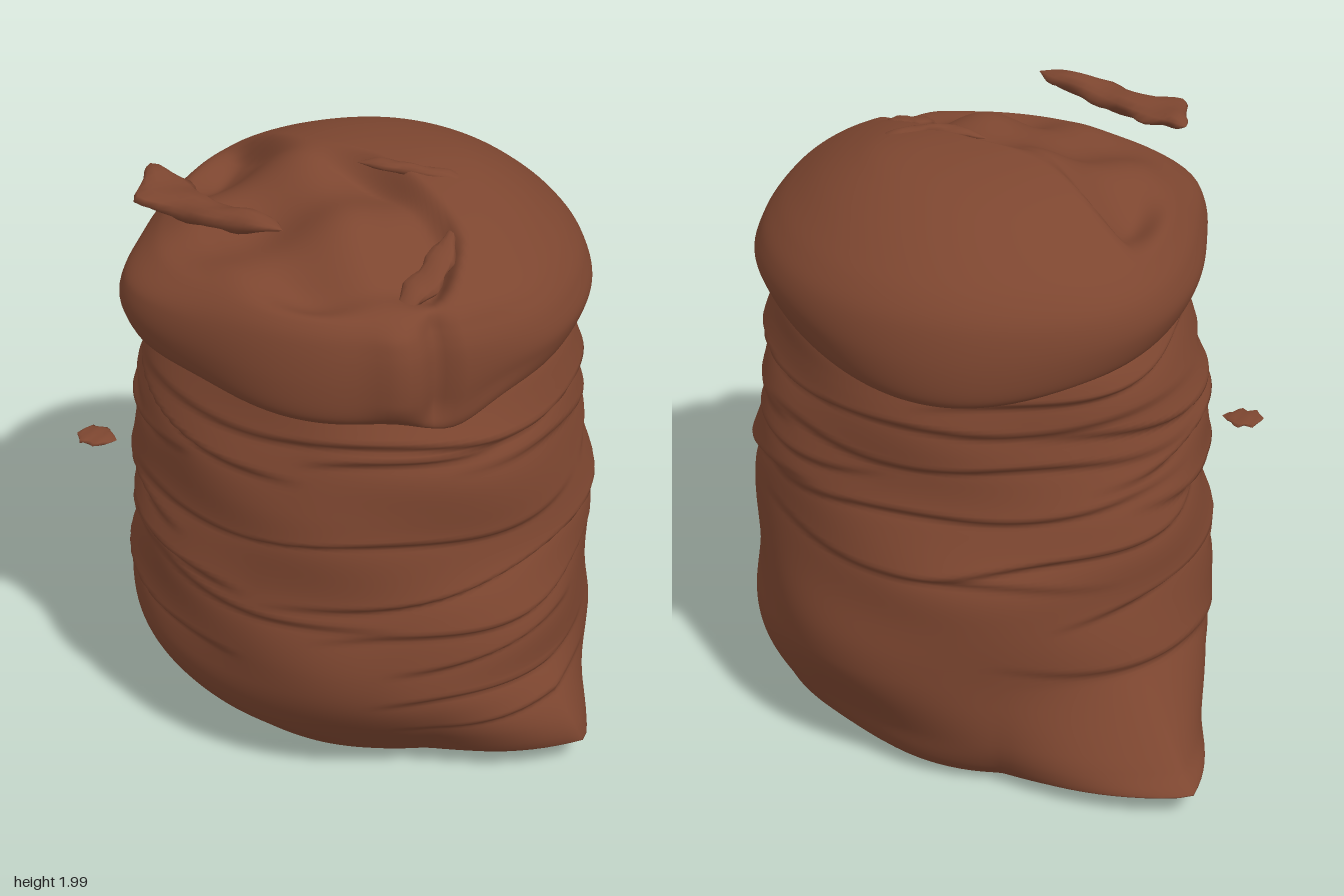
import * as THREE from 'three';

const TAU = Math.PI * 2;
const DEG = Math.PI / 180;
const burlap = new THREE.MeshStandardMaterial({ color: 0x7d4630, side: THREE.DoubleSide });
burlap.name = 'brown cloth';

// Cubic interpolation between rows of numbers
function sample(rows, t) {
  const i = Math.min(Math.floor(t), rows.length - 2), f = t - i;
  const at = k => rows[Math.max(0, Math.min(rows.length - 1, k))];
  const [a, b, c, d] = [at(i - 1), at(i), at(i + 1), at(i + 2)];
  return b.map((_, k) => b[k] + 0.5 * f * (c[k] - a[k] + f * (2 * a[k] - 5 * b[k] + 4 * c[k] - d[k]
    + f * (3 * (b[k] - c[k]) + d[k] - a[k]))));
}

// Closed loops of points joined into a smooth skin
function skin(name, rings, segs, pointAt) {
  const pos = [], idx = [];
  for (let i = 0; i < rings; i++) {
    for (let j = 0; j < segs; j++) {
      pos.push(...pointAt(i / (rings - 1), j / segs * TAU));
      if (i === rings - 1) continue;
      const a = i * segs + j, b = i * segs + (j + 1) % segs;
      idx.push(a, a + segs, b, b, a + segs, b + segs);
    }
  }
  const geo = new THREE.BufferGeometry();
  geo.setAttribute('position', new THREE.Float32BufferAttribute(pos, 3));
  geo.setIndex(idx);
  geo.computeVertexNormals();
  const mesh = new THREE.Mesh(geo, burlap);
  mesh.name = name;
  return mesh;
}

// Rounded cross-section spanning x0..x1 and z0..z1
function section([y, x0, x1, z0, z1], a, grow = 0) {
  const c = Math.cos(a), s = Math.sin(a), n = 1.94;
  const k = Math.pow(Math.abs(c) ** n + Math.abs(s) ** n, -1 / n);
  return [(x0 + x1) / 2 + c * (k * (x1 - x0) / 2 + grow), y,
    (z0 + z1) / 2 + s * (k * (z1 - z0) / 2 + grow)];
}

const angleGap = (a, b) => Math.atan2(Math.sin(a - b), Math.cos(a - b));
const bump = (a, deg, width) => Math.exp(-((angleGap(a, deg * DEG) / width) ** 2));
const smooth = (x, a, b) => THREE.MathUtils.smoothstep(x, a, b);

// Folds: centre angle, half spread, height, rise across the spread, depth
const folds = [
  [90, 75, 0.98, -0.03, 0.022], [30, 80, 0.86, -0.15, 0.026], [0, 170, 1.32, 0.02, 0.024],
  [45, 34, 0.42, -0.03, 0.022], [48, 28, 0.57, -0.04, 0.018], [42, 32, 0.3, -0.03, 0.016],
  [45, 50, 0.68, -0.06, 0.018], [10, 50, 1.2, 0.05, 0.016], [70, 28, 1.28, -0.03, 0.02],
  [140, 45, 1.25, 0.07, 0.024], [150, 40, 0.8, 0.06, 0.026], [150, 38, 0.54, 0.05, 0.02],
  [185, 55, 1.12, -0.04, 0.026], [180, 50, 0.93, 0.05, 0.028], [195, 55, 0.68, -0.05, 0.024],
  [205, 50, 1.22, 0.05, 0.022], [215, 50, 0.42, 0.08, 0.014], [270, 70, 1.17, 0.02, 0.018],
  [275, 70, 1.0, -0.03, 0.018], [285, 55, 0.8, 0.05, 0.014], [240, 50, 0.86, -0.06, 0.02],
  [330, 40, 1.08, -0.04, 0.016], [110, 40, 0.7, 0.04, 0.014], [225, 60, 1.42, -0.04, 0.02],
].map(([a, w, ...rest]) => [a * DEG, w * DEG, ...rest]);

// Soft bulge above each fold line, with a tuck beneath it
function wrinkle(a, y) {
  let sum = 0.007 * Math.sin(3 * a + y * 9) + 0.006 * Math.sin(5 * a - y * 13) - 0.004;
  for (const [fa, w, fy, rise, depth] of folds) {
    const g = angleGap(a, fa) / w;
    if (Math.abs(g) >= 1) continue;
    const u = y - fy - rise * g - 0.012 * Math.sin(a * 5 + fy * 20);
    const weight = Math.cos(g * Math.PI / 2) * depth;
    const over = Math.exp(-Math.max(u, 0) / 0.075), under = -1.15 * Math.exp(Math.min(u, 0) / 0.045);
    sum += weight * THREE.MathUtils.lerp(under, over, smooth(u, -0.018, 0.018));
  }
  return sum;
}

// Body: height, x range, z range
const bodyRows = [
  [0.012, 0.03, 0.03, -0.06, -0.06], [0.01, -0.3, 0.34, -0.36, 0.22], [0.018, -0.56, 0.6, -0.58, 0.41],
  [0.055, -0.63, 0.7, -0.64, 0.48], [0.12, -0.67, 0.75, -0.675, 0.55], [0.22, -0.705, 0.79, -0.695, 0.63],
  [0.35, -0.715, 0.81, -0.71, 0.69], [0.5, -0.705, 0.81, -0.715, 0.715], [0.65, -0.69, 0.805, -0.7, 0.715],
  [0.8, -0.685, 0.795, -0.69, 0.7], [0.95, -0.675, 0.785, -0.66, 0.695], [1.1, -0.665, 0.77, -0.64, 0.705],
  [1.25, -0.64, 0.75, -0.645, 0.7], [1.4, -0.61, 0.725, -0.65, 0.67], [1.5, -0.57, 0.69, -0.63, 0.63],
  [1.58, -0.5, 0.6, -0.55, 0.55],
];

// Pointed lower corners: angle, spread, reach, height
const corners = [[32, 32, 0.24, 0.09], [228, 35, 0.345, 0.06]];

function bodyPoint(t, a) {
  const row = sample(bodyRows, t * (bodyRows.length - 1));
  const y = row[0], rim = smooth(row[2] - row[1], 0.8, 1.35);
  // fuller along the diagonal that joins the corners
  let grow = wrinkle(a, y) * smooth(y, 0.05, 0.2)
    + rim * (0.04 * bump(a, 45, 0.42) + 0.045 * bump(a, 225, 0.45));
  let lift = 0;
  for (const [ca, w, reach, cy] of corners) {
    const side = Math.max(0, 1 - Math.abs(angleGap(a, ca * DEG)) / (w * DEG)) ** 1.15;
    grow += rim * reach * side * Math.max(0, 1 - Math.abs(y - cy) / 0.36) ** 1.3;
    lift += rim * 0.05 * side * (1 - smooth(y, 0.02, 0.15));
  }
  // lower edge drawn in between the corners
  grow -= 0.08 * rim * (1 - smooth(y, 0.05, 0.42)) * (bump(a, 135, 0.6) + bump(a, 318, 0.6));
  const [x, , z] = section(row, a, grow);
  return [x, y + lift, z];
}

// Rolled cuff and bulging crown
const cuffRows = [
  [1.53, -0.5, 0.62, -0.57, 0.58], [1.475, -0.54, 0.7, -0.64, 0.69], [1.5, -0.6, 0.735, -0.68, 0.74],
  [1.59, -0.635, 0.765, -0.695, 0.755], [1.68, -0.615, 0.745, -0.675, 0.745],
  [1.75, -0.56, 0.695, -0.63, 0.715], [1.81, -0.49, 0.63, -0.56, 0.64], [1.87, -0.4, 0.55, -0.465, 0.52],
  [1.92, -0.3, 0.46, -0.36, 0.38], [1.955, -0.18, 0.37, -0.24, 0.22], [1.975, -0.04, 0.25, -0.11, 0.08],
  [1.98, 0.1, 0.1, 0, 0],
];

function cuffPoint(t, a) {
  const row = sample(cuffRows, t * (cuffRows.length - 1));
  const low = 1 - smooth(row[0], 1.5, 1.68);
  const mid = smooth(row[0], 1.46, 1.56) * (1 - smooth(row[0], 1.72, 1.82));
  // fuller diagonal, front-left point, front pleat and soft lumps
  const grow = (0.035 * bump(a, 40, 0.4) + 0.05 * bump(a, 225, 0.45)) * (1 - smooth(row[0], 1.75, 1.95))
    + 0.085 * bump(a, 150, 0.32) * (1 - smooth(row[0], 1.68, 1.85))
    + mid * (0.03 * bump(a, 72, 0.1) - 0.04 * bump(a, 62, 0.05) - 0.02 * bump(a, 48, 0.25))
    + 0.01 * Math.sin(4 * a + 1) * low;
  const [x, y0, z] = section(row, a, grow);
  let y = y0 + low * (0.035 * Math.cos(2 * a) - 0.065 * bump(a, 58, 0.2) - 0.03 * bump(a, 270, 0.6));
  // gathered hollow in front of the diagonal ridge
  const d = -0.62 * x + 0.78 * z + 0.025 + 0.03 * Math.sin(9 * x);
  const inside = smooth(y0, 1.76, 1.86) * (1 - smooth(x, 0.34, 0.42));
  const pucker = 0.025 * Math.sin(14 * x - 7 * z) + 0.022 * Math.sin(12 * z + 8 * x);
  y -= inside * smooth(d, 0, 0.07) * (0.06 + pucker);
  return [x, y, z];
}

// Crumpled loose cloth: position, half width, half thickness along its length
function scrap(name, rows) {
  const last = rows.length - 1;
  const [s, e] = [rows[0], rows[last]];
  const side = new THREE.Vector2(s[2] - e[2], e[0] - s[0]).normalize();
  return skin(name, last * 4 + 1, 12, (t, a) => {
    const [x, y, z, w, h] = sample(rows, t * last);
    const crumple = 1 + 0.22 * Math.sin(t * 23) * Math.cos(2 * a + 0.5);
    const across = -Math.cos(a) * w * crumple;
    return [x + side.x * across, y + Math.sin(a) * h * crumple, z + side.y * across];
  });
}

export function createModel() {
  const sack = new THREE.Group();
  sack.name = 'sack';
  sack.add(
    skin('body', 190, 144, bodyPoint),
    skin('rolledTop', 110, 144, cuffPoint),
    scrap('tornTopFlap', [
      [-0.57, 1.965, 0.17, 0.0, 0.0], [-0.55, 1.96, 0.22, 0.04, 0.02], [-0.5, 1.95, 0.32, 0.09, 0.025],
      [-0.38, 1.94, 0.4, 0.06, 0.035], [-0.27, 1.955, 0.47, 0.05, 0.035],
      [-0.16, 1.97, 0.52, 0.04, 0.025], [-0.09, 1.975, 0.56, 0.0, 0.0],
    ]),
    scrap('crownTear', [
      [0.04, 1.96, 0.05, 0, 0], [0.12, 1.97, 0.07, 0.03, 0.014], [0.22, 1.965, 0.09, 0.02, 0.018],
      [0.33, 1.95, 0.08, 0.03, 0.014], [0.42, 1.92, 0.09, 0, 0],
    ]),
    scrap('frontCrownFold', [
      [0.37, 1.88, 0.25, 0, 0], [0.36, 1.86, 0.36, 0.03, 0.02], [0.33, 1.82, 0.47, 0.05, 0.02],
      [0.28, 1.78, 0.56, 0.04, 0.02], [0.24, 1.73, 0.63, 0, 0],
    ]),
    scrap('looseScrap', [
      [-0.86, 0.955, 0.13, 0, 0], [-0.83, 0.953, 0.13, 0.05, 0.009],
      [-0.77, 0.95, 0.14, 0.05, 0.011], [-0.725, 0.95, 0.15, 0, 0],
    ]),
  );
  return sack;
}
